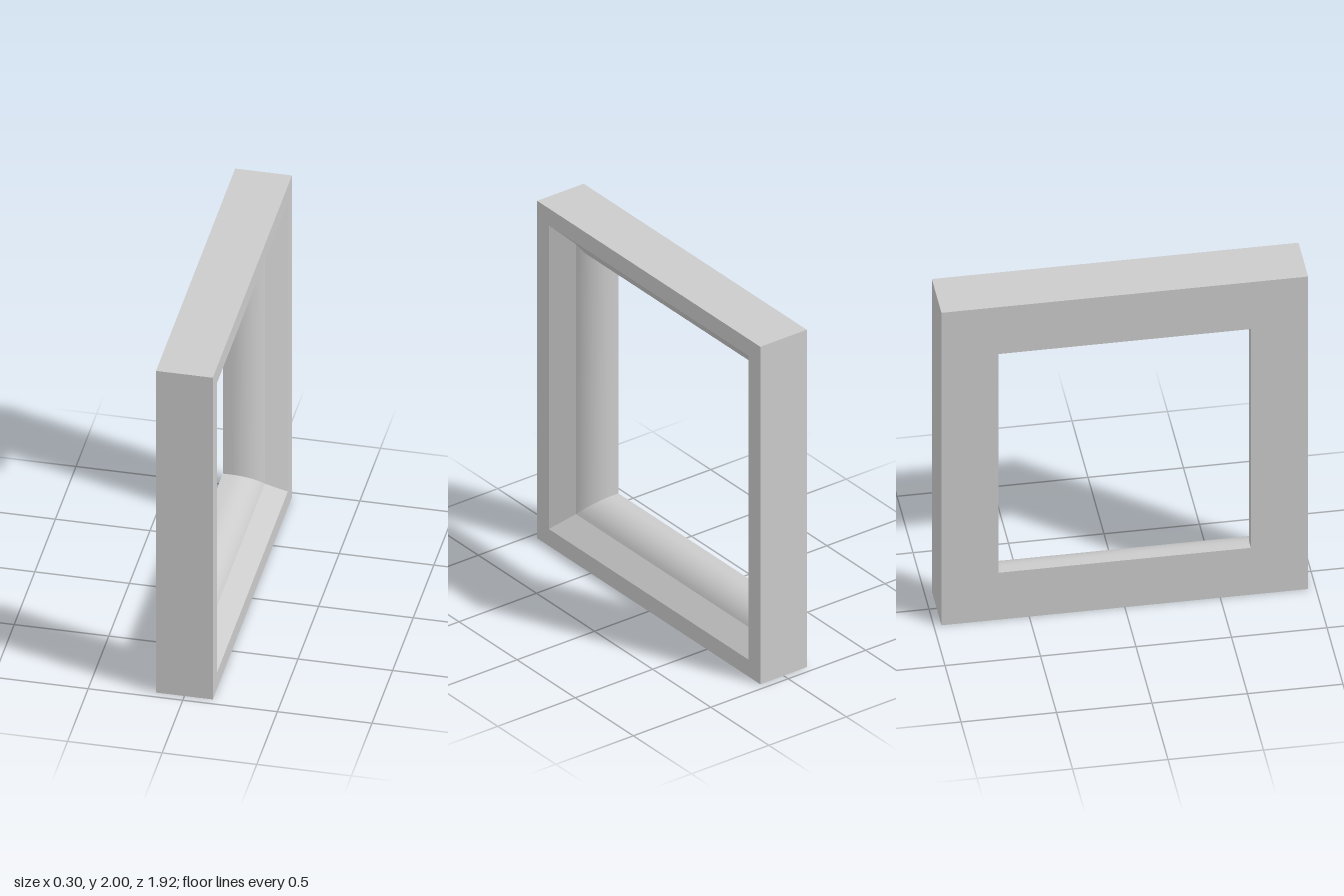
import * as THREE from 'three';
import { toCreasedNormals } from 'three/addons/utils/BufferGeometryUtils.js';

const HALF_Z = 0.96, HALF_Y = 1, HALF_DEPTH = 0.15;

// Moulding section as [x, inset from the outer edge], running outer front -> opening -> back
function mouldingProfile() {
  const points = [[HALF_DEPTH, 0], [HALF_DEPTH, 0.1], [0.05, 0.2]]; // border and straight bevel
  // Rounded shoulder that ends tangent to the straight inner lip
  const start = THREE.MathUtils.degToRad(67), steps = 10;
  const radius = 0.1 / (1 - Math.cos(start));
  const endX = 0.05 - radius * Math.sin(start);
  for (let i = 1; i <= steps; i++) {
    const a = start * (1 - i / steps);
    points.push([endX + radius * Math.sin(a), 0.3 - radius * (1 - Math.cos(a))]);
  }
  points.push([-HALF_DEPTH, 0.3], [-HALF_DEPTH, 0]);
  return points;
}

// Sweeps a closed section round a rectangle with mitred corners
function mitredFrame(profile) {
  const corners = [[1, 1], [-1, 1], [-1, -1], [1, -1]];
  const positions = [], index = [], n = profile.length;
  for (const [x, inset] of profile) {
    for (const [sz, sy] of corners) {
      positions.push(x, HALF_Y + sy * (HALF_Y - inset), sz * (HALF_Z - inset));
    }
  }
  for (let j = 0; j < n; j++) {
    for (let i = 0; i < 4; i++) {
      const next = (j + 1) % n, k = (i + 1) % 4;
      const a = j * 4 + i, b = j * 4 + k, c = next * 4 + k, d = next * 4 + i;
      index.push(a, d, c, a, c, b);
    }
  }
  const geometry = new THREE.BufferGeometry();
  geometry.setAttribute('position', new THREE.Float32BufferAttribute(positions, 3));
  geometry.setIndex(index);
  return toCreasedNormals(geometry, 0.3);
}

export function createModel() {
  const model = new THREE.Group();
  model.name = 'pictureFrame';
  const material = new THREE.MeshStandardMaterial({ color: 0xcccccc });
  const frame = new THREE.Mesh(mitredFrame(mouldingProfile()), material);
  frame.name = 'frameMoulding';
  model.add(frame);
  return model;
}
